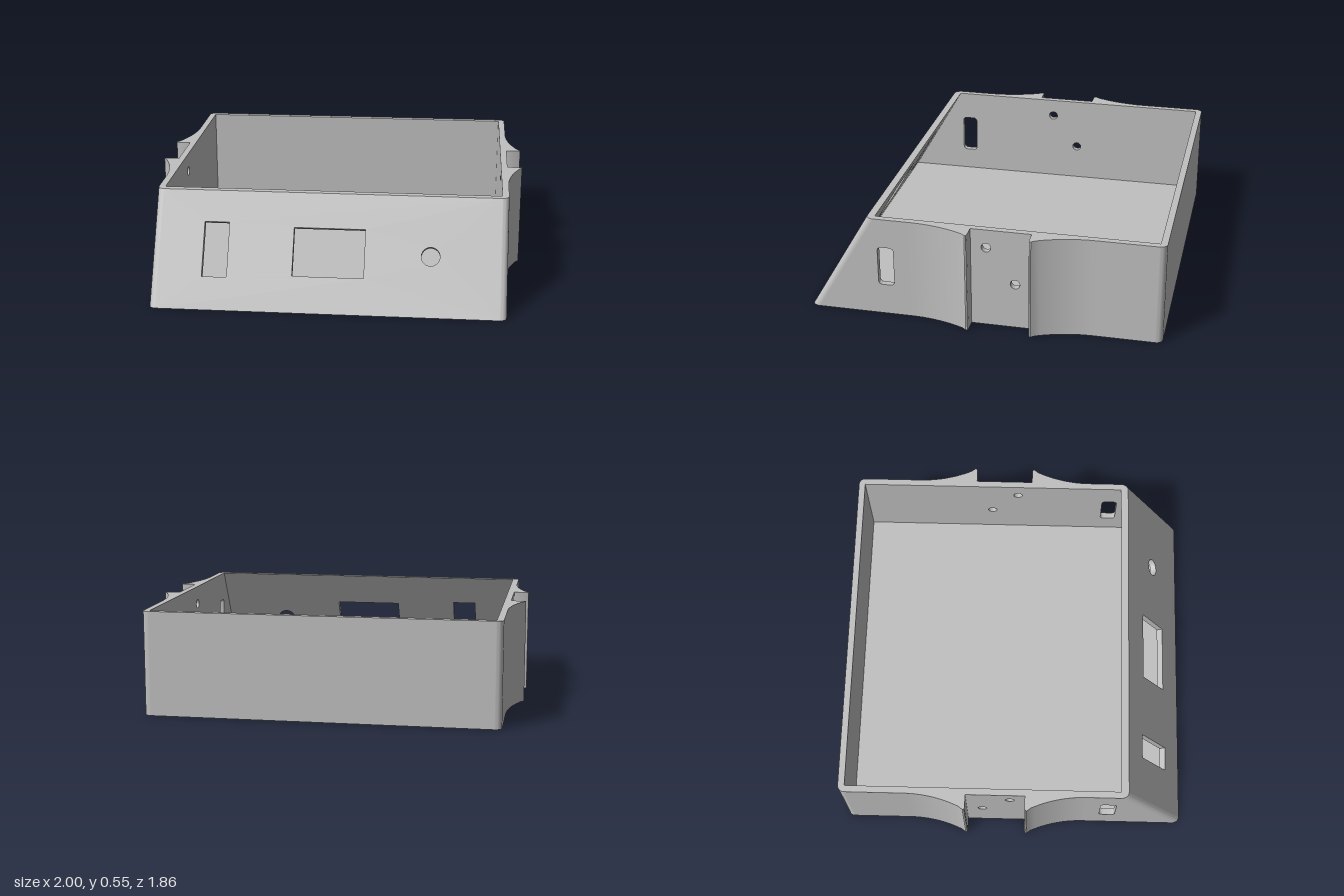
import * as THREE from 'three';
import { toCreasedNormals } from 'three/addons/utils/BufferGeometryUtils.js';

const H = 0.545;            // overall height
const W = 0.92;             // half width of the body
const T = 0.035;            // wall thickness
const TF = 0.04;            // front wall thickness, measured along z
const BACK = -0.93, FRONT = 0.93;
const SLOPE = 0.32 / H;     // how far the front leans back per unit of height
const FLOOR = 0.045;

const polygon = pts => new THREE.Shape(pts.map(p => new THREE.Vector2(...p)));

function ellipseHole(x, y, rx, ry) {
  return new THREE.Path().absellipse(x, y, rx, ry, 0, Math.PI * 2, true);
}

function roundedHole(x0, y0, x1, y1, r) {
  const p = new THREE.Path();
  p.absarc(x0 + r, y0 + r, r, Math.PI, Math.PI * 1.5);
  p.absarc(x1 - r, y0 + r, r, Math.PI * 1.5, Math.PI * 2);
  p.absarc(x1 - r, y1 - r, r, 0, Math.PI / 2);
  p.absarc(x0 + r, y1 - r, r, Math.PI / 2, Math.PI);
  p.closePath();
  return p;
}

const rectHole = (x0, y0, x1, y1) =>
  new THREE.Path([[x0, y0], [x1, y0], [x1, y1], [x0, y1]].map(p => new THREE.Vector2(...p)));

const extrude = (shape, depth) =>
  new THREE.ExtrudeGeometry(shape, { depth, bevelEnabled: false, curveSegments: 12 });

// shape drawn in (z, y), running from xMax towards -x
const extrudeAcross = (shape, xMax, depth) =>
  extrude(shape, depth).rotateY(-Math.PI / 2).translate(xMax, 0, 0);

// shape drawn in (x, z), standing from the ground to full height
const extrudeUp = shape => extrude(shape, H).rotateX(Math.PI / 2).translate(0, H, 0);

// lean a geometry back with the front face
function lean(geo) {
  const p = geo.attributes.position;
  for (let i = 0; i < p.count; i++) p.setZ(i, p.getZ(i) - SLOPE * p.getY(i));
  return geo;
}

export function createModel() {
  const group = new THREE.Group();
  const grey = new THREE.MeshStandardMaterial({ color: 0xc0c0c0 });
  grey.name = 'plain grey';

  function add(name, geo) {
    geo.computeVertexNormals();
    const mesh = new THREE.Mesh(toCreasedNormals(geo, 0.5), grey);
    mesh.name = name;
    group.add(mesh);
  }

  // side profile, from the back wall to the inside of the leaning front
  const profile = (z0, h) => polygon([
    [z0, 0], [FRONT - TF, 0], [FRONT - TF - SLOPE * h, h], [z0, h]]);

  // floor and back wall
  add('floor', extrudeAcross(profile(BACK + T, FLOOR), W - T, 2 * (W - T)));
  add('backWall', new THREE.BoxGeometry(2 * (W - T), H, T).translate(0, H / 2, BACK + T / 2));

  // side walls with a slot and two screw holes each
  for (const [name, xMax] of [['leftWall', W], ['rightWall', -W + T]]) {
    const wall = profile(BACK + T, H);
    wall.holes.push(
      roundedHole(0.47, 0.17, 0.555, 0.385, 0.02),
      ellipseHole(-0.02, 0.445, 0.025, 0.025),
      ellipseHole(-0.17, 0.25, 0.025, 0.025));
    add(name, extrudeAcross(wall, xMax, T));
  }

  // leaning front wall, its openings cut square to the slope
  const xi = W - T;
  const front = polygon([[-xi, 0], [xi, 0], [xi, H], [-xi, H]]);
  front.holes.push(
    rectHole(-0.655, 0.15, -0.525, 0.4),
    rectHole(-0.185, 0.165, 0.185, 0.385),
    ellipseHole(0.525, 0.273, 0.048, 0.042));
  const frontGeo = extrude(front, TF).translate(0, 0, FRONT - TF);
  const p = frontGeo.attributes.position;
  const drop = TF * SLOPE / (1 + SLOPE * SLOPE);
  for (let i = 0; i < p.count; i++) {
    const inOpening = Math.abs(p.getX(i)) < 0.8;
    if (inOpening && p.getZ(i) < FRONT - TF / 2) p.setY(i, p.getY(i) - drop);
  }
  add('frontWall', lean(frontGeo));

  for (const s of [1, -1]) {
    const side = s > 0 ? 'Left' : 'Right';

    // rounded corner posts
    for (const [end, z, d] of [['front', FRONT - TF, TF], ['back', BACK + T, -T]]) {
      const pts = [[s * xi, z]];
      for (let i = 0; i <= 8; i++) {
        const a = i / 8 * Math.PI / 2;
        pts.push([s * (xi + T * Math.cos(a)), z + d * Math.sin(a)]);
      }
      const post = extrudeUp(polygon(pts));
      add(end + side + 'Corner', end === 'front' ? lean(post) : post);
    }

    // concave flared fins either side of the strap channel
    for (const [end, z, d] of [['front', 0.06, 1], ['back', -0.255, -1]]) {
      const pts = [[s * W, z], [s * 0.99, z], [s * 0.999, z + d * 0.004]];
      const L = 0.325, R = (L * L + 0.08 * 0.08) / 0.16;
      for (let i = 0; i <= 14; i++) {
        const u = (L - 0.012) * (1 - i / 14);
        pts.push([s * (W + R - Math.sqrt(R * R - u * u) + (i === 0 ? 0.006 : 0)), z + d * (L - u)]);
      }
      add(end + side + 'Fin', extrudeUp(polygon(pts)));
    }
  }
  return group;
}
